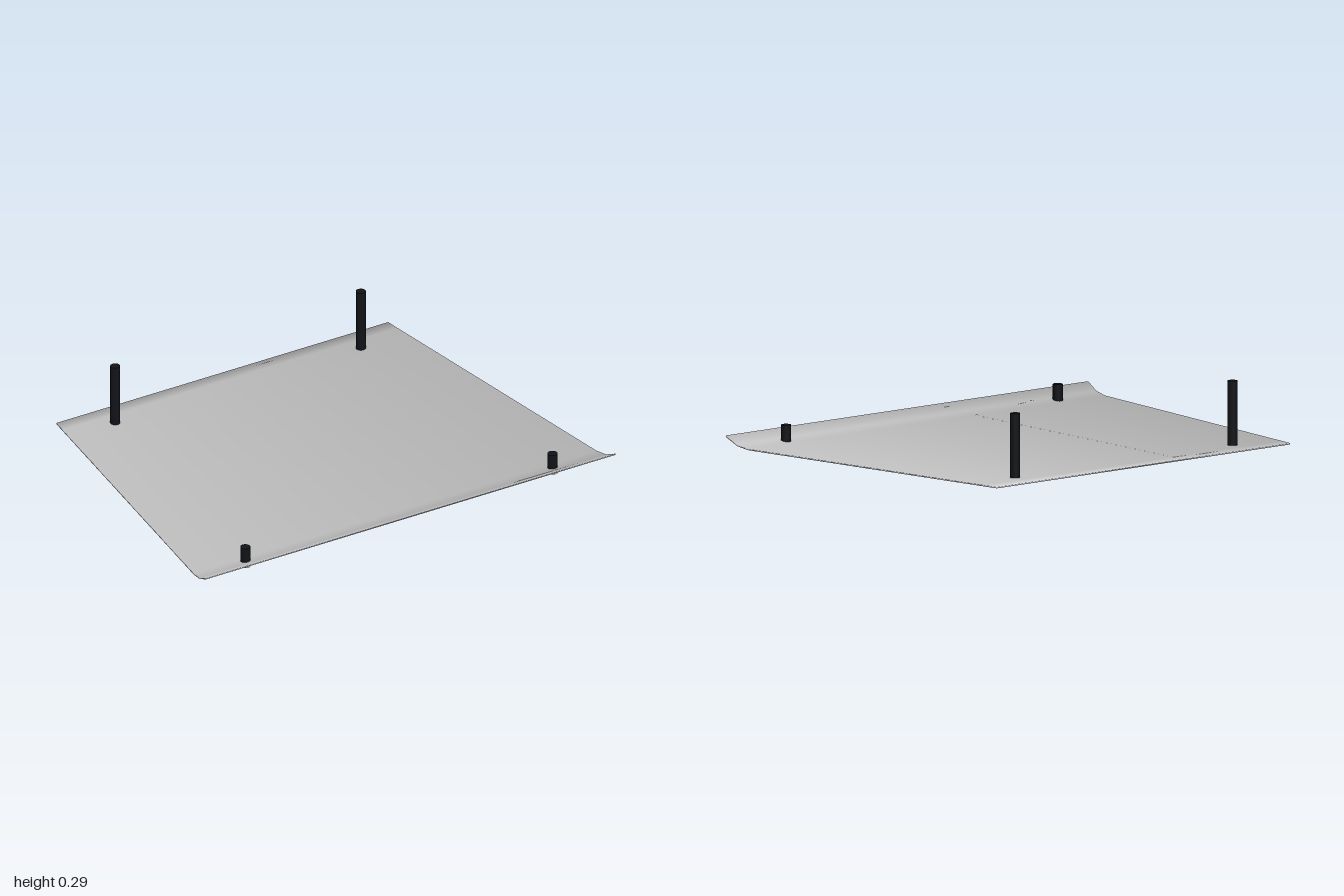
import * as THREE from 'three';
import { mergeVertices } from 'three/addons/utils/BufferGeometryUtils.js';

const DEPTH = 1.5, THICK = 0.006, BASE = 0.012;
const LIP_START = 0.625, LIP_RISE = 0.042;

// Thin tapered plate whose front edge curls upwards
function plateGeometry() {
  const box = new THREE.BoxGeometry(2, THICK, DEPTH, 1, 1, 24);
  box.deleteAttribute('normal');
  box.deleteAttribute('uv');
  const geo = mergeVertices(box);
  const pos = geo.attributes.position;
  const normals = new THREE.BufferAttribute(new Float32Array(pos.count * 3), 3);
  const n = new THREE.Vector3();
  for (let i = 0; i < pos.count; i++) {
    const x = pos.getX(i), y = pos.getY(i), z = pos.getZ(i);
    const side = Math.sign(x), up = Math.sign(y);
    const t = Math.max(0, (z - LIP_START) / (DEPTH / 2 - LIP_START));
    const slope = 2 * t * LIP_RISE / (DEPTH / 2 - LIP_START);
    const end = Math.abs(z) > DEPTH / 2 - 0.001 ? Math.sign(z) : 0;
    // soft normals that roll over the thin edges
    n.set(side, up, end - up * slope).normalize();
    normals.setXYZ(i, n.x, n.y, n.z);
    const halfWidth = THREE.MathUtils.mapLinear(z, -DEPTH / 2, DEPTH / 2, 0.81, 1);
    pos.setXYZ(i, side * halfWidth, BASE + THICK / 2 + y + LIP_RISE * t * t, z);
  }
  geo.setAttribute('normal', normals);
  return geo;
}

export function createModel() {
  const model = new THREE.Group();
  model.name = 'mountedPlate';
  const grey = new THREE.MeshStandardMaterial({ color: 0xcccccc });
  const black = new THREE.MeshStandardMaterial({ color: 0x111317 });

  const add = (name, geometry, material) => {
    const mesh = new THREE.Mesh(geometry, material);
    mesh.name = name;
    model.add(mesh);
    return mesh;
  };

  add('plate', plateGeometry(), grey);

  // Upright rods with a bolt head under the plate, mirrored left and right
  const mounts = [
    { name: 'front', x: 0.75, z: 0.655, top: 0.09 },
    { name: 'rear', x: 0.6, z: -0.625, top: 0.29 },
  ];
  for (const { name, x, z, top } of mounts) {
    for (const [label, s] of [['Left', 1], ['Right', -1]]) {
      const height = top - 0.014;
      add(`${name}${label}Rod`, new THREE.CylinderGeometry(0.021, 0.021, height, 16), black)
        .position.set(s * x, 0.014 + height / 2, z);
      add(`${name}${label}BoltHead`, new THREE.CylinderGeometry(0.023, 0.023, 0.014, 16), grey)
        .position.set(s * x, 0.007, z);
    }
  }
  return model;
}
